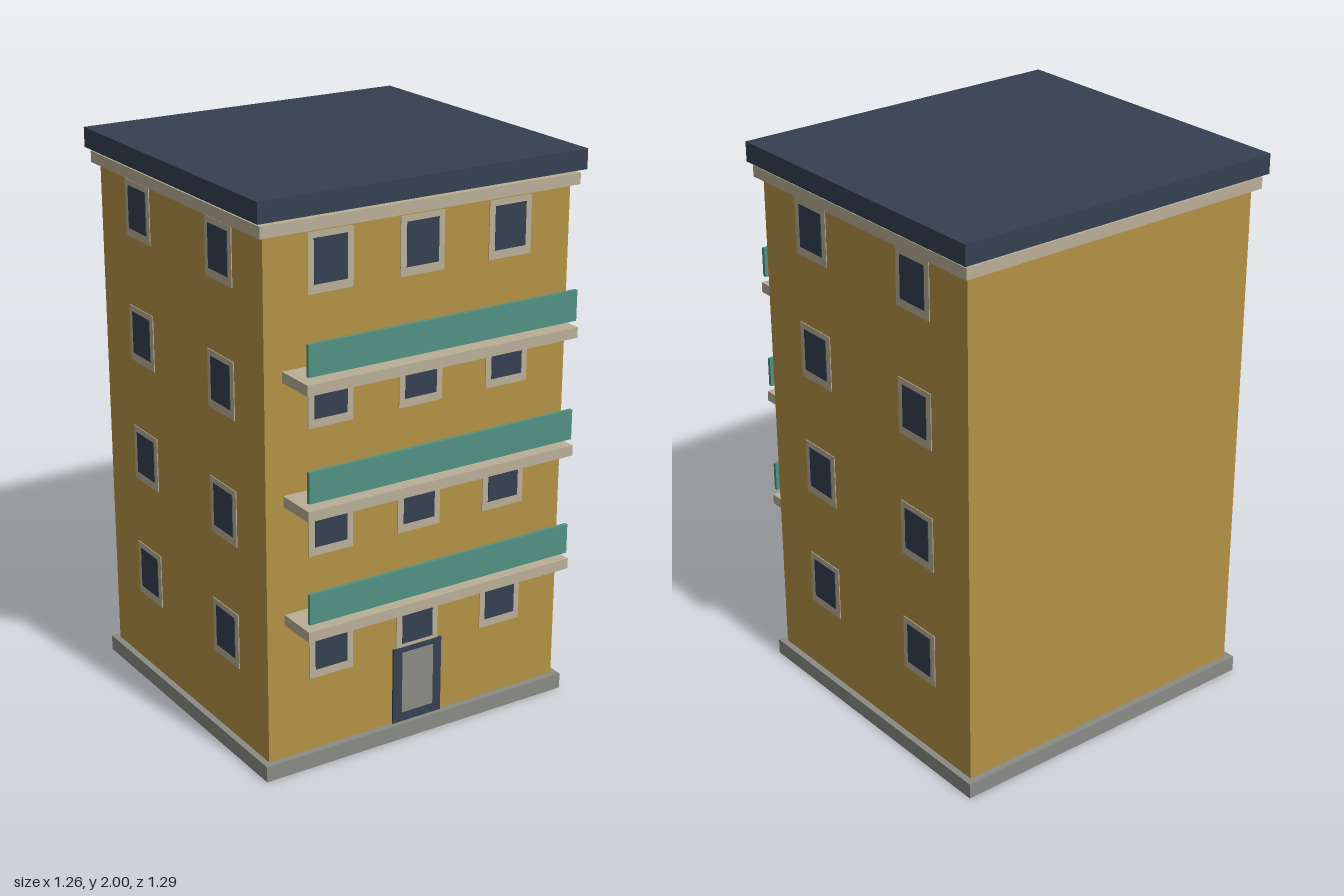
import * as THREE from 'three';

const mat = (name, color) => {
  const m = new THREE.MeshStandardMaterial({ color });
  m.name = name;
  return m;
};

export function createModel() {
  const ochre = mat('ochre wall', 0xb39145);
  const navy = mat('navy', 0x354052);
  const stone = mat('pale stone', 0xb9ae97);
  const grey = mat('grey concrete', 0x8a8b85);
  const teal = mat('teal railing', 0x529182);

  const model = new THREE.Group();
  model.name = 'apartmentBlock';

  // Box given by its extents along each axis
  const box = (parent, name, material, [x0, x1], [y0, y1], [z0, z1]) => {
    const mesh = new THREE.Mesh(new THREE.BoxGeometry(x1 - x0, y1 - y0, z1 - z0), material);
    mesh.position.set((x0 + x1) / 2, (y0 + y1) / 2, (z0 + z1) / 2);
    mesh.name = name;
    parent.add(mesh);
    return mesh;
  };

  const halfW = 0.593, back = -0.603, front = 0.491;
  const midZ = (front + back) / 2;

  // Main volume, plinth, cornice and roof slab
  box(model, 'plinth', grey, [-0.616, 0.616], [0, 0.057], [-0.628, 0.516]);
  box(model, 'walls', ochre, [-halfW, halfW], [0.057, 1.88], [back, front]);
  box(model, 'cornice', stone, [-0.616, 0.616], [1.878, 1.918], [-0.628, 0.516]);
  box(model, 'roof', navy, [-0.631, 0.631], [1.93, 2], [-0.643, 0.53]);

  // Window: thin surround with a pane, deeper margin at the sill
  const addWindow = (x, y, z, turn) => {
    const win = new THREE.Group();
    win.name = 'window';
    box(win, 'windowFrame', stone, [-0.085, 0.085], [-0.1, 0.1], [-0.002, 0.003]);
    box(win, 'windowPane', navy, [-0.062, 0.062], [-0.07, 0.08], [0, 0.005]);
    win.position.set(x, y, z);
    win.rotation.y = turn;
    model.add(win);
  };

  for (let floor = 0; floor < 4; floor++) {
    const y = 0.425 + floor * 0.447;
    for (const x of [-0.348, 0, 0.348]) addWindow(x, y, front, 0);
    for (const side of [-1, 1]) {
      for (const dz of [-0.275, 0.275]) {
        addWindow(side * halfW, y, midZ + dz, side * Math.PI / 2);
      }
    }
  }

  // Balconies: slab with a railing panel hovering at the outer edge
  for (let i = 0; i < 3; i++) {
    const y = 0.55 + i * 0.422;
    const balcony = new THREE.Group();
    balcony.name = 'balcony';
    box(balcony, 'balconySlab', stone, [-0.527, 0.527], [y, y + 0.037], [front, 0.643]);
    box(balcony, 'balconyRailing', teal, [-0.521, 0.521], [y + 0.06, y + 0.167], [0.627, 0.64]);
    model.add(balcony);
  }

  // Entrance door
  const door = new THREE.Group();
  door.name = 'door';
  box(door, 'doorFrame', navy, [-0.099, 0.099], [0.057, 0.341], [front - 0.002, front + 0.007]);
  box(door, 'doorPanel', grey, [-0.064, 0.064], [0.092, 0.322], [front + 0.001, front + 0.009]);
  model.add(door);

  return model;
}
